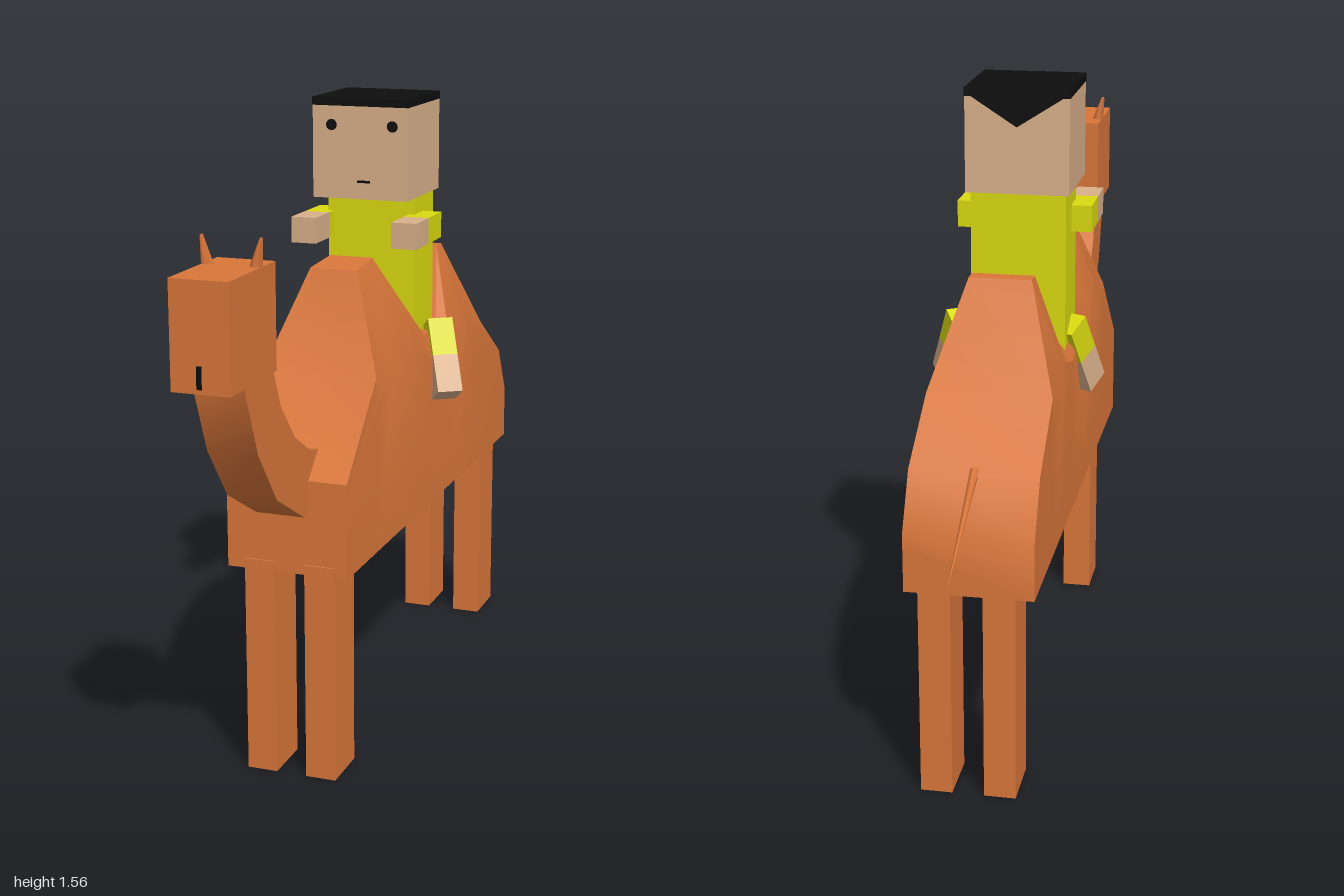
import * as THREE from 'three';
import { toCreasedNormals } from 'three/addons/utils/BufferGeometryUtils.js';

const mat = (name, color) => new THREE.MeshStandardMaterial({ name, color });

export function createModel() {
  const fur = mat('camelFur', 0xd9763a);
  const cloth = mat('yellowCloth', 0xdada10);
  const skin = mat('skin', 0xdab08b);
  const black = mat('black', 0x0e0e0e);
  const root = new THREE.Group();
  root.name = 'camelAndRider';
  const cx = -0.015; // centre line of the camel

  const add = (name, geo, material, parent = root) => {
    const m = new THREE.Mesh(geo, material);
    m.name = name;
    parent.add(m);
    return m;
  };
  // Box given by its limits on each axis
  const box = (name, material, x0, x1, y0, y1, z0, z1) => {
    const m = add(name, new THREE.BoxGeometry(x1 - x0, y1 - y0, z1 - z0), material);
    m.position.set((x0 + x1) / 2, (y0 + y1) / 2, (z0 + z1) / 2);
    return m;
  };

  // Body: sections from chest to rump as z, shoulder height, top height, top half width
  const sections = [
    [0.555, 0.70, 0.74, 0.15], [0.34, 0.88, 0.94, 0.145],
    [0.24, 0.93, 1.175, 0.06], [0.12, 1.0, 1.185, 0.055],
    [0.03, 0.95, 1.075, 0.09], [-0.06, 0.9, 0.96, 0.13],
    [-0.22, 0.9, 0.95, 0.11], [-0.33, 0.93, 1.14, 0.075],
    [-0.37, 0.93, 1.14, 0.075], [-0.51, 0.86, 0.9, 0.148],
    [-0.69, 0.75, 0.78, 0.15], [-0.76, 0.62, 0.65, 0.15],
  ];
  const pos = [], idx = [], N = 6;
  sections.forEach(([z, s, t, w], k) => {
    const ring = [[-0.15, 0.51], [0.15, 0.51], [0.15, s], [w, t], [-w, t], [-0.15, s]];
    ring.forEach(([x, y]) => pos.push(x + cx, y, z));
    if (k === 0) return;
    for (let i = 0; i < N; i++) {
      const a = (k - 1) * N + i, b = (k - 1) * N + (i + 1) % N;
      idx.push(a, a + N, b + N, a, b + N, b);
    }
  });
  const last = (sections.length - 1) * N;
  for (let i = 1; i < N - 1; i++) idx.push(0, i, i + 1, last, last + i + 1, last + i);
  const bodyGeo = new THREE.BufferGeometry();
  bodyGeo.setAttribute('position', new THREE.Float32BufferAttribute(pos, 3));
  bodyGeo.setIndex(idx);
  add('body', toCreasedNormals(bodyGeo, 0.6), fur);

  // Neck: curved side outline (z, y) extruded across x
  const outline = [
    [0.91, 1.05], [0.84, 0.88], [0.74, 0.75], [0.58, 0.66], [0.5, 0.65], [0.49, 0.8],
    [0.54, 0.81], [0.63, 0.865], [0.71, 0.955], [0.76, 1.07], [0.8, 1.1], [0.91, 1.1],
  ].map(([z, y]) => new THREE.Vector2(-z, y));
  const neckGeo = new THREE.ExtrudeGeometry(new THREE.Shape(outline), { depth: 0.12, bevelEnabled: false });
  neckGeo.rotateY(Math.PI / 2).translate(-0.08, 0, 0);
  add('neck', toCreasedNormals(neckGeo, 0.6), fur);

  // Camel head, mouth and ears
  box('camelHead', fur, -0.085, 0.05, 1.05, 1.29, 0.755, 1.0);
  box('camelMouth', black, -0.026, -0.014, 1.06, 1.11, 0.997, 1.001);
  for (const s of [-1, 1]) {
    const ear = add(s < 0 ? 'rightEar' : 'leftEar', new THREE.CylinderGeometry(0.004, 0.016, 0.07, 4), fur);
    ear.position.set(-0.018 + s * 0.062, 1.318, 0.83);
    ear.rotation.z = -s * 0.2;
  }

  // Camel legs
  for (const [side, x] of [['Right', -0.12], ['Left', 0.03]]) {
    box('front' + side + 'Leg', fur, x, x + 0.075, 0, 0.535, 0.43, 0.56);
    box('back' + side + 'Leg', fur, x, x + 0.075, 0, 0.53, -0.75, -0.615);
  }

  // Tail: thin tapered rod pointing back and down
  const from = new THREE.Vector3(cx, 0.782, -0.68), to = new THREE.Vector3(cx, 0.617, -1.0);
  const tail = add('tail', new THREE.ConeGeometry(0.011, from.distanceTo(to), 6), fur);
  tail.position.copy(from).lerp(to, 0.5);
  tail.quaternion.setFromUnitVectors(new THREE.Vector3(0, 1, 0), to.clone().sub(from).normalize());

  // Rider torso and head
  box('torso', cloth, -0.145, 0.085, 0.92, 1.31, -0.22, -0.065);
  box('riderHead', skin, -0.155, 0.095, 1.31, 1.54, -0.235, 0.015);
  box('hair', black, -0.156, 0.096, 1.54, 1.56, -0.236, 0.016);

  // Pointed hair at the back of the head
  const point = new THREE.Shape([[-0.155, 1.55], [-0.03, 1.47], [0.095, 1.55]].map(p => new THREE.Vector2(...p)));
  const backHair = add('backHair', new THREE.ExtrudeGeometry(point, { depth: 0.004, bevelEnabled: false }), black);
  backHair.position.z = -0.238;

  // Face
  for (const x of [-0.105, 0.055]) {
    const eye = add(x < 0 ? 'rightEye' : 'leftEye', new THREE.CylinderGeometry(0.014, 0.014, 0.005, 12), black);
    eye.rotation.x = Math.PI / 2;
    eye.position.set(x, 1.493, 0.015);
  }
  box('riderMouth', black, -0.037, -0.003, 1.351, 1.357, 0.013, 0.017);

  // Arms reaching forward, with sleeves
  for (const [side, x] of [['right', -0.195], ['left', 0.07]]) {
    box(side + 'Sleeve', cloth, x, x + 0.065, 1.2, 1.265, -0.135, -0.03);
    box(side + 'Hand', skin, x, x + 0.065, 1.2, 1.265, -0.03, 0.065);
  }

  // Rider legs, slanted forward and outward
  for (const [side, hipX, footX] of [['right', -0.14, -0.178], ['left', 0.12, 0.176]]) {
    const leg = new THREE.Group();
    leg.name = side + 'RiderLeg';
    const hip = new THREE.Vector3(hipX, 0.973, -0.153), foot = new THREE.Vector3(footX, 0.802, -0.07);
    const half = hip.distanceTo(foot) / 2;
    leg.position.copy(hip).lerp(foot, 0.5);
    leg.lookAt(foot);
    root.add(leg);
    add(side + 'Trouser', new THREE.BoxGeometry(0.065, 0.07, half), cloth, leg).position.z = -half / 2;
    add(side + 'Shin', new THREE.BoxGeometry(0.065, 0.07, half), skin, leg).position.z = half / 2;
  }
  return root;
}
